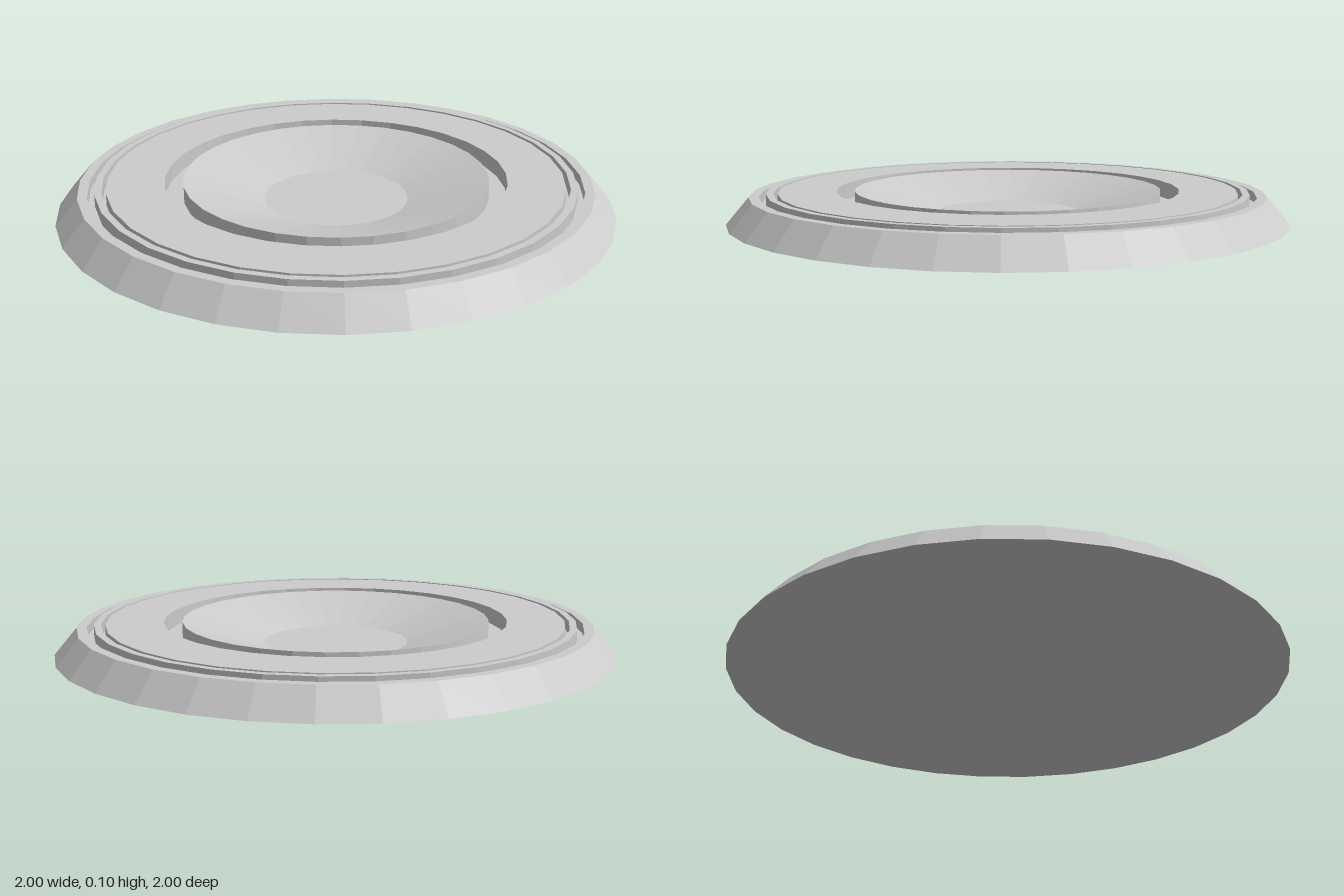
import * as THREE from 'three';

const SEGMENTS = 32;
const TOP = 0.105, RIM = 0.095, GROOVE = 0.06, CHANNEL = 0.045;

// Each part is a stretch of one continuous profile, [radius, height], running from the underside inwards
const PARTS = {
  base: [[0, 0], [1, 0]],
  outerRim: [[1, 0], [0.92, RIM], [0.885, RIM]],
  outerGroove: [[0.885, RIM], [0.885, GROOVE], [0.86, GROOVE]],
  raisedRing: [[0.86, GROOVE], [0.86, TOP], [0.835, TOP]],
  innerGroove: [[0.835, TOP], [0.835, GROOVE], [0.82, GROOVE]],
  flatPlate: [[0.82, GROOVE], [0.82, TOP], [0.615, TOP]],
  channel: [[0.615, TOP], [0.615, CHANNEL], [0.55, CHANNEL]],
  bowl: [[0.55, CHANNEL], [0.55, TOP], [0.26, 0.02]],
  bowlFloor: [[0.26, 0.02], [0, 0.02]],
};

export function createModel() {
  const group = new THREE.Group();
  group.name = 'roundDish';
  const material = new THREE.MeshStandardMaterial({ color: 0xcccccc, flatShading: true });

  for (const [name, profile] of Object.entries(PARTS)) {
    const points = profile.map(([r, y]) => new THREE.Vector2(r, y));
    const mesh = new THREE.Mesh(new THREE.LatheGeometry(points, SEGMENTS), material);
    mesh.name = name;
    group.add(mesh);
  }
  return group;
}
